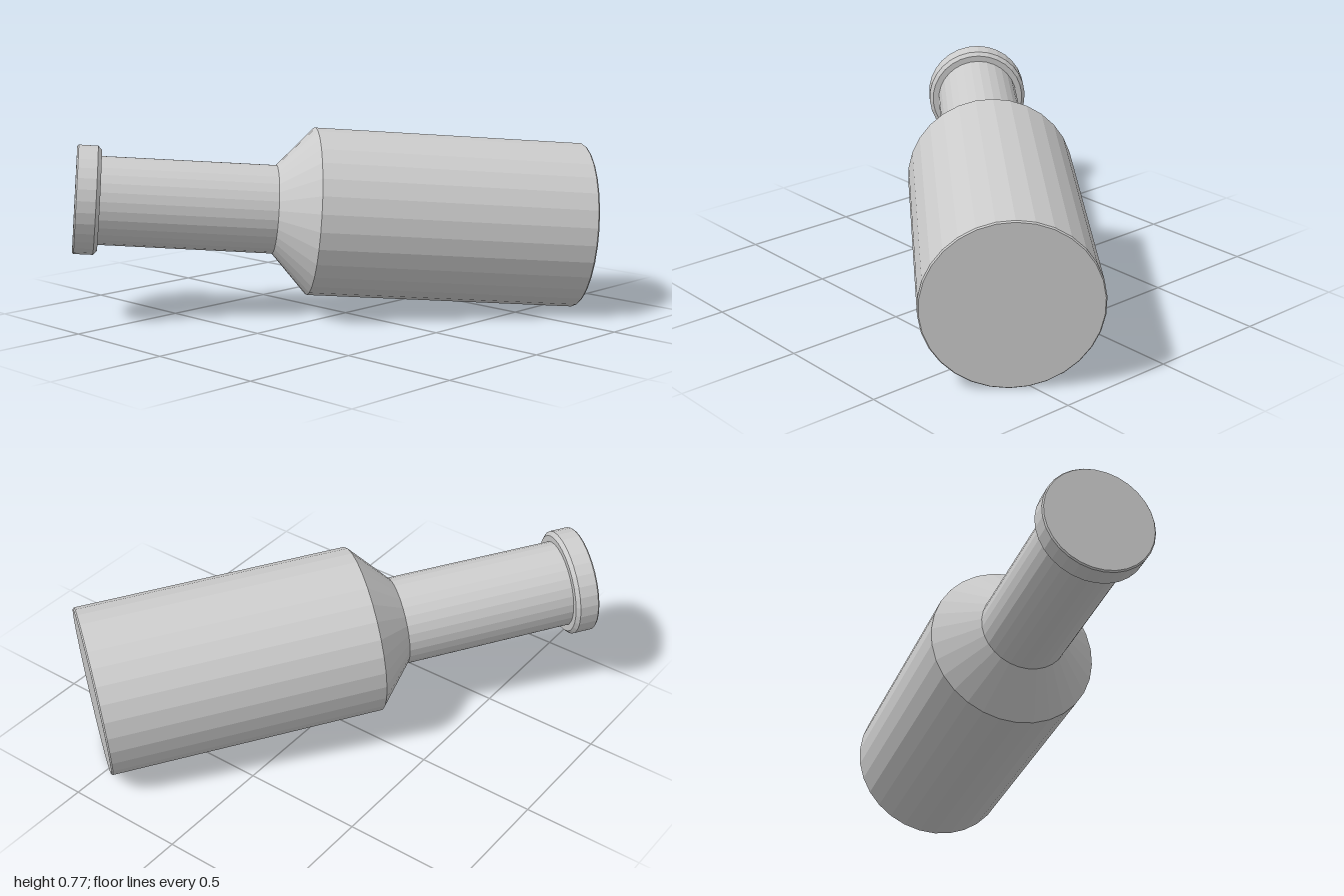
import * as THREE from 'three';

const SIDES = 30;

export function createModel() {
  const model = new THREE.Group();
  const bottle = new THREE.Group();
  bottle.name = 'bottle';
  const material = new THREE.MeshStandardMaterial({ color: 0xcccccc, flatShading: true });

  // Each part is turned from [radius, height along the axis] points
  function turn(name, profile) {
    const points = profile.map(([r, h]) => new THREE.Vector2(r, h));
    const mesh = new THREE.Mesh(new THREE.LatheGeometry(points, SIDES), material);
    mesh.name = name;
    bottle.add(mesh);
  }

  // Flat base and straight body
  turn('body', [[0, 0], [0.34, 0], [0.345, 0.006], [0.345, 1.13]]);
  // Sloping shoulder
  turn('shoulder', [[0.345, 1.13], [0.182, 1.28]]);
  // Straight neck
  turn('neck', [[0.182, 1.28], [0.18, 2.0]]);
  // Lip ring with a softened back edge and a closed flat front
  turn('lip', [[0.18, 1.99], [0.206, 1.99], [0.221, 2.005], [0.221, 2.082], [0.216, 2.088], [0, 2.088]]);

  // Lay the bottle along its tilted axis, from base centre to mouth centre
  const base = new THREE.Vector3(0.583, 0.345, -0.79);
  const mouth = new THREE.Vector3(-0.68, 0.505, 0.865);
  const axis = mouth.clone().sub(base).normalize();
  bottle.quaternion.setFromUnitVectors(new THREE.Vector3(0, 1, 0), axis);
  bottle.position.copy(base);

  model.add(bottle);
  return model;
}
